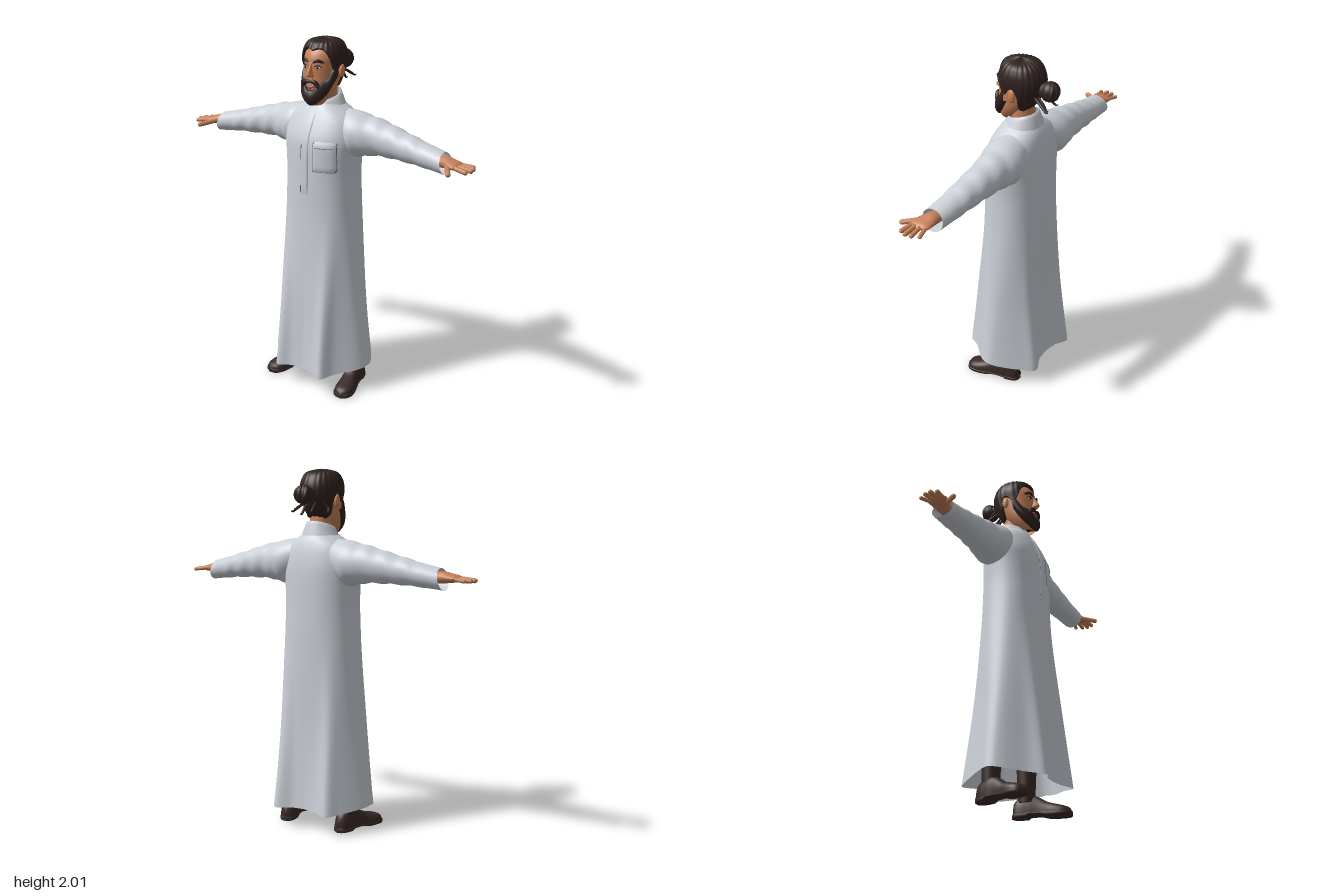
import * as THREE from 'three';

const mat = (name, color, side = THREE.DoubleSide) => Object.assign(new THREE.MeshStandardMaterial({ color, side }), { name });
const rad = THREE.MathUtils.degToRad, lerp = THREE.MathUtils.lerp, smooth = THREE.MathUtils.smoothstep;

// Smooth interpolation through rows of [key, a, b, ...]
function sample(rows, k) {
  let i = 0;
  while (i < rows.length - 2 && k > rows[i + 1][0]) i++;
  const p = rows[i], q = rows[i + 1], o = rows[i - 1] || p, r = rows[i + 2] || q;
  const h = q[0] - p[0], t = THREE.MathUtils.clamp((k - p[0]) / h, 0, 1), t2 = t * t, t3 = t2 * t;
  return p.slice(1).map((a, j) => {
    const b = q[j + 1];
    const m0 = (b - o[j + 1]) / (q[0] - o[0]) * h, m1 = (r[j + 1] - a) / (r[0] - p[0]) * h;
    return (2 * t3 - 3 * t2 + 1) * a + (t3 - 2 * t2 + t) * m0 + (3 * t2 - 2 * t3) * b + (t3 - t2) * m1;
  });
}

// Grid surface from fn(u, v) -> [x, y, z]; outside is du x dv
function surface(nu, nv, fn, closed = true) {
  const pos = [], idx = [], w = closed ? nu : nu + 1;
  for (let j = 0; j <= nv; j++) for (let i = 0; i < w; i++) pos.push(...fn(i / nu, j / nv));
  for (let j = 0; j < nv; j++) for (let i = 0; i < nu; i++) {
    const a = j * w + i, b = j * w + (i + 1) % w;
    idx.push(a, b, b + w, a, b + w, a + w);
  }
  const g = new THREE.BufferGeometry();
  g.setAttribute('position', new THREE.Float32BufferAttribute(pos, 3));
  g.setIndex(idx);
  g.computeVertexNormals();
  return g;
}

function mirrored(geo) {
  const g = geo.clone(), n = g.attributes.normal, ix = g.index.array;
  const p = g.attributes.position;
  for (let i = 0; i < p.count; i++) { p.setX(i, -p.getX(i)); n.setX(i, -n.getX(i)); }
  for (let i = 0; i < ix.length; i += 3) [ix[i + 1], ix[i + 2]] = [ix[i + 2], ix[i + 1]];
  return g;
}

// Rounded rod between two points
function rod(a, b, r) {
  const A = new THREE.Vector3(...a), B = new THREE.Vector3(...b), d = B.clone().sub(A);
  const g = new THREE.CapsuleGeometry(r, d.length(), 5, 10);
  g.applyQuaternion(new THREE.Quaternion().setFromUnitVectors(new THREE.Vector3(0, 1, 0), d.normalize()));
  return g.translate(...A.add(B).multiplyScalar(0.5).toArray());
}

// Tube that narrows at both ends
function lock(points, r, flat = 0.5) {
  const curve = new THREE.CatmullRomCurve3(points.map(p => new THREE.Vector3(...p)));
  const g = new THREE.TubeGeometry(curve, 16, r, 8), p = g.attributes.position, v = new THREE.Vector3();
  for (let i = 0; i < p.count; i++) {
    const t = Math.floor(i / 9) / 16, c = curve.getPointAt(t);
    v.fromBufferAttribute(p, i).sub(c).multiplyScalar(Math.pow(Math.sin(Math.PI * t) + 1e-4, flat)).add(c);
    p.setXYZ(i, v.x, v.y, v.z);
  }
  return g;
}

const ball = (x, y, z, sx, sy, sz) => new THREE.SphereGeometry(1, 20, 14).scale(sx, sy, sz).translate(x, y, z);

// Robe body: [y, half width, front z, back z]
const BODY = [[0.1, 0.322, 0.247, -0.247], [0.35, 0.293, 0.222, -0.222], [0.6, 0.265, 0.2, -0.203], [1, 0.226, 0.166, -0.19],
  [1.25, 0.212, 0.16, -0.186], [1.38, 0.216, 0.158, -0.184], [1.47, 0.224, 0.15, -0.18], [1.55, 0.212, 0.118, -0.168],
  [1.6, 0.18, 0.092, -0.155], [1.635, 0.125, 0.072, -0.14], [1.66, 0.085, 0.055, -0.122]];
// Folded hem outline: [degrees from front, x, z]
const HEM = [[0, 0, 0.83], [18, 0.25, 0.88], [36, 0.48, 1], [54, 0.64, 0.68], [72, 0.92, 0.27], [90, 1, 0],
  [108, 0.93, -0.28], [126, 0.7, -0.74], [144, 0.52, -1], [162, 0.25, -0.86], [180, 0, -0.82]];
const ROUND = 0.88, spow = (a, e) => Math.sign(a) * Math.pow(Math.abs(a), e);

function bodyPoint(th, y) {
  const [rx, zf, zb] = sample(BODY, y), w = 1 - smooth(y, 0.1, 1.2);
  const deg = Math.abs(th) * 180 / Math.PI, [hx, hz] = sample(HEM, deg);
  const nx = lerp(spow(Math.sin(th), ROUND), hx * Math.sign(th), w);
  const nz = lerp(spow(Math.cos(th), ROUND), hz, w);
  return [rx * nx, y, (zf + zb) / 2 + (zf - zb) / 2 * nz];
}

// Thin panel lying on the chest
function panel(x0, x1, y0, y1, lift) {
  return surface(10, 10, (u, v) => {
    const edge = u === 0 || u === 1 || v === 0 || v === 1;
    const x = lerp(x0, x1, u), y = lerp(y0, y1, v), rx = sample(BODY, y)[0];
    const p = bodyPoint(Math.asin(spow(x / rx, 1 / ROUND)), y);
    return [x, y, p[2] + (edge ? -0.002 : lift)];
  }, false);
}

// Head: [y, half width, front z, back z]
const HEAD = [[1.655, 0.035, 0.1, 0.02], [1.69, 0.062, 0.113, -0.02], [1.74, 0.082, 0.112, -0.07], [1.8, 0.092, 0.108, -0.11],
  [1.86, 0.098, 0.108, -0.135], [1.91, 0.1, 0.102, -0.138], [1.95, 0.086, 0.08, -0.12], [1.975, 0.058, 0.045, -0.085], [1.988, 0, -0.02, -0.02]];
function headPoint(th, y, grow = 0) {
  const [rx, zf, zb] = sample(HEAD, y), top = grow * smooth(y, 1.9, 1.988);
  const g = y > 1.9875 ? 0 : grow;
  return [(rx + g) * Math.sin(th), y + top, (zf + zb) / 2 + ((zf - zb) / 2 + g) * Math.cos(th)];
}
const HAIRLINE = [[0, 1.942], [15, 1.95], [35, 1.946], [50, 1.918], [62, 1.87], [70, 1.84], [78, 1.83], [86, 1.862],
  [100, 1.872], [112, 1.83], [125, 1.765], [150, 1.735], [180, 1.73]];
// Beard: [degrees from front, upper edge, lower edge]
const BEARD = [[0, 1.742, 1.656], [12, 1.744, 1.657], [24, 1.77, 1.66], [36, 1.782, 1.667], [55, 1.8, 1.695], [68, 1.848, 1.735], [80, 1.852, 1.79]];

export function createModel() {
  const model = new THREE.Group();
  const M = {
    cloth: mat('white cloth', 0xcbd0d7), seam: mat('seam grey', 0x6d7178), skin: mat('skin', 0xc6825a),
    hair: mat('dark hair', 0x30221f), leather: mat('dark leather', 0x382926), lip: mat('lip', 0x9c5744),
    white: mat('eye white', 0xd8d2cc), iris: mat('iris', 0x21160f),
  };
  const add = (name, geo, m) => { const o = new THREE.Mesh(geo, m); o.name = name; model.add(o); return o; };
  const pair = (name, geo, m) => { add(name + 'Left', geo, m); add(name + 'Right', mirrored(geo), m); };

  // Robe body
  add('robe', surface(120, 60, (u, v) => {
    const th = (u - 0.5) * 2 * Math.PI, p0 = bodyPoint(th, 0.12);
    return bodyPoint(th, lerp(0.15 - 0.15 * Math.abs(p0[2]), 1.66, v));
  }), M.cloth);

  // Standing collar, higher at the nape
  add('collar', surface(40, 5, (u, v) => {
    const th = u * 2 * Math.PI, t = Math.min(v * 1.25, 1), inner = v > 0.9 ? 0.008 : 0;
    const z = -0.032 + (lerp(0.105, 0.085, t) - inner) * Math.cos(th);
    return [(lerp(0.112, 0.079, t) - inner) * Math.sin(th), lerp(1.63 - 0.12 * z, 1.688 - 0.32 * z, t), z];
  }), M.cloth);

  // Chest pocket, placket and stitched lines
  add('pocketSeam', panel(0.037, 0.178, 1.298, 1.48, 0.003), M.seam);
  add('pocket', panel(0.041, 0.174, 1.302, 1.477, 0.006), M.cloth);
  add('pocketFlapSeam', panel(0.05, 0.165, 1.437, 1.441, 0.0075), M.seam);
  add('placket', panel(-0.03, 0.018, 1.155, 1.63, 0.005), M.cloth);
  for (const [a, b] of [[1.17, 1.22], [1.36, 1.45]]) add('placketSeam', panel(-0.034, -0.03, a, b, 0.003), M.seam);

  // Sleeves: [x, top y, bottom y, front z, back z]
  const SLEEVE = [[0.08, 1.632, 1.47, 0.03, -0.13], [0.2, 1.623, 1.375, 0.075, -0.17], [0.26, 1.61, 1.388, 0.06, -0.165],
    [0.35, 1.592, 1.398, 0.035, -0.15], [0.5, 1.552, 1.396, 0.03, -0.13], [0.65, 1.513, 1.386, 0.03, -0.11], [0.755, 1.49, 1.375, 0.035, -0.095]];
  pair('sleeve', surface(36, 50, (u, v) => {
    const a = u * 2 * Math.PI, x = lerp(0.08, 0.755, v), [t, b, f, k] = sample(SLEEVE, x);
    const wr = 1 + 0.03 * Math.sin(x * 55 + 2 * Math.cos(a)) * smooth(x, 0.2, 0.3) * (1 - smooth(x, 0.6, 0.7));
    return [x + 0.012 * Math.cos(a) * -v, (t + b) / 2 + (t - b) / 2 * wr * Math.cos(a), (f + k) / 2 + (f - k) / 2 * wr * Math.sin(a)];
  }), M.cloth);

  // Hands: palm rows [x, y, half height, z, half width], then fingers
  const PALM = [[0.69, 1.437, 0.028, -0.03, 0.034], [0.76, 1.443, 0.031, -0.026, 0.042], [0.8, 1.44, 0.024, -0.016, 0.052],
    [0.84, 1.437, 0.015, -0.011, 0.05], [0.858, 1.435, 0, -0.011, 0]];
  pair('palm', surface(24, 20, (u, v) => {
    const a = u * 2 * Math.PI, x = lerp(0.69, 0.858, v), [y, ry, z, rz] = sample(PALM, x);
    return [x, y + ry * Math.cos(a), z + rz * Math.sin(a)];
  }), M.skin);
  for (const [name, a, b, r] of [
    ['littleFinger', [0.828, 1.437, -0.05], [0.893, 1.43, -0.068], 0.0105],
    ['ringFinger', [0.835, 1.438, -0.025], [0.911, 1.43, -0.03], 0.012],
    ['middleFinger', [0.835, 1.438, 0.001], [0.916, 1.43, 0.004], 0.0125],
    ['indexFinger', [0.832, 1.437, 0.025], [0.904, 1.428, 0.039], 0.012],
    ['thumb', [0.785, 1.437, 0.015], [0.838, 1.42, 0.094], 0.0135]]) pair(name, rod(a, b, r), M.skin);

  // Neck and head
  add('neck', new THREE.CylinderGeometry(0.06, 0.065, 0.18, 24).translate(0, 1.69, -0.03), M.skin);
  add('head', surface(48, 40, (u, v) => headPoint(u * 2 * Math.PI, 1.655 + 0.333 * Math.sin(v * Math.PI / 2))), M.skin);
  pair('ear', ball(0.105, 1.833, -0.03, 0.013, 0.036, 0.021).rotateX(0), M.skin);

  // Nose: bridge and tip
  const NOSE = [[0, 0.022, 0.112, 1.806], [0.15, 0.021, 0.14, 1.813], [0.35, 0.015, 0.139, 1.831], [0.7, 0.01, 0.121, 1.862], [1, 0.009, 0.106, 1.888]];
  add('nose', surface(14, 12, (u, v) => {
    const a = (u - 0.5) * Math.PI, [w, z, y] = sample(NOSE, v);
    return [w * Math.sin(a), y, lerp(0.095, z, Math.cos(a))];
  }, false), M.skin);

  // Eyes, brows and mouth
  const on = (deg, y, g) => headPoint(rad(deg), y, g);
  pair('eye', ball(...on(23, 1.86, -0.002), 0.018, 0.0085, 0.007), M.white);
  pair('iris', ball(...on(23, 1.86, 0.003), 0.0075, 0.0085, 0.004), M.iris);
  pair('upperLid', lock([on(11, 1.862, 0.002), on(22, 1.871, 0.004), on(36, 1.86, 0.002)], 0.0035), M.hair);
  pair('brow', lock([on(7, 1.883, 0.003), on(22, 1.896, 0.005), on(42, 1.884, 0.002)], 0.0085), M.hair);
  add('mouth', lock([on(-22, 1.766, 0.002), on(0, 1.755, 0.006), on(22, 1.766, 0.002)], 0.0085), M.lip);
  pair('moustache', lock([on(-3, 1.784, 0.006), on(16, 1.784, 0.01), on(28, 1.764, 0.009), on(33, 1.735, 0.008)], 0.0135), M.hair);

  // Beard, closed underneath towards the throat
  add('beard', surface(56, 22, (u, v) => {
    const deg = (u - 0.5) * 160, [hi, lo] = sample(BEARD, Math.abs(deg)), t = Math.max(0, (v - 0.1) / 0.9);
    const p = on(deg, lerp(lo, hi, t), v >= 1 ? -0.003 : 0.004 + 0.017 * Math.sqrt(Math.sin(Math.PI * Math.min(1, t * 0.92 + 0.08))));
    return v === 0 ? [p[0] * 0.7, Math.max(1.69, p[1]), p[2] * 0.3 - 0.01] : p;
  }, false), M.hair);

  // Swept-back hair
  add('hair', surface(96, 26, (u, v) => {
    const deg = (u - 0.5) * 360, [lo] = sample(HAIRLINE, Math.abs(deg)), t = Math.max(0, (v - 0.04) / 0.96);
    const y = lo + (1.988 - lo) * Math.sin(t * Math.PI / 2);
    return on(deg, y, v === 0 ? -0.006 : 0.013 + 0.0015 * Math.cos(rad(deg) * 24) + 0.004 * smooth(t, 0, 0.4));
  }), M.hair);

  // Bun with wrapped strands, and loose locks at the nape
  add('bun', ball(0, 1.866, -0.195, 0.05, 0.053, 0.045), M.hair);
  for (const a of [-0.9, 0, 0.9]) add('bunStrand', new THREE.TorusGeometry(0.039, 0.015, 8, 24)
    .rotateY(Math.PI / 2 + a).rotateX(a * 0.4).translate(0, 1.866, -0.196), M.hair);
  add('bunTie', new THREE.TorusGeometry(0.027, 0.012, 8, 20).translate(0, 1.866, -0.157), M.hair);
  for (const [x, y, z] of [[-0.11, 1.765, -0.13], [-0.05, 1.77, -0.2], [0.02, 1.76, -0.19], [0.06, 1.775, -0.215]])
    add('looseLock', lock([[x * 0.6, 1.83, -0.12], [x * 0.9, 1.79, z + 0.025], [x, y, z], [x * 1.05, y + 0.006, z - 0.012]], 0.008), M.hair);

  // Shoes: [z, half width, height], turned outwards
  const SHOE = [[-0.155, 0, 0.05], [-0.148, 0.026, 0.08], [-0.12, 0.042, 0.112], [-0.06, 0.046, 0.128], [-0.01, 0.045, 0.115],
    [0.04, 0.049, 0.085], [0.1, 0.055, 0.066], [0.14, 0.05, 0.055], [0.165, 0.032, 0.042], [0.174, 0, 0.024]];
  const place = g => g.rotateY(0.25).translate(0.216, 0, 0.014);
  pair('shoe', place(surface(28, 36, (u, v) => {
    const a = u * 2 * Math.PI, z = lerp(-0.155, 0.174, v), [w, h] = sample(SHOE, z);
    return [-w * spow(Math.cos(a), 0.75), Math.max(0.015, 0.018 + (h - 0.018) * spow(Math.sin(a), 0.85)), z];
  })), M.leather);
  pair('sole', place(surface(28, 36, (u, v) => {
    const a = u * 2 * Math.PI, z = lerp(-0.158, 0.178, v), [w] = sample(SHOE, z * 0.975);
    const arch = 0.013 * smooth(z, -0.075, -0.06) * (1 - smooth(z, -0.01, 0.06));
    return [-w * 1.07 * spow(Math.cos(a), 0.4), lerp(arch, 0.024, (spow(Math.sin(a), 0.4) + 1) / 2), z];
  })), M.leather);

  // Trouser legs under the robe
  pair('leg', new THREE.CylinderGeometry(0.062, 0.046, 0.34, 24).translate(0.188, 0.25, -0.056), M.leather);
  return model;
}
